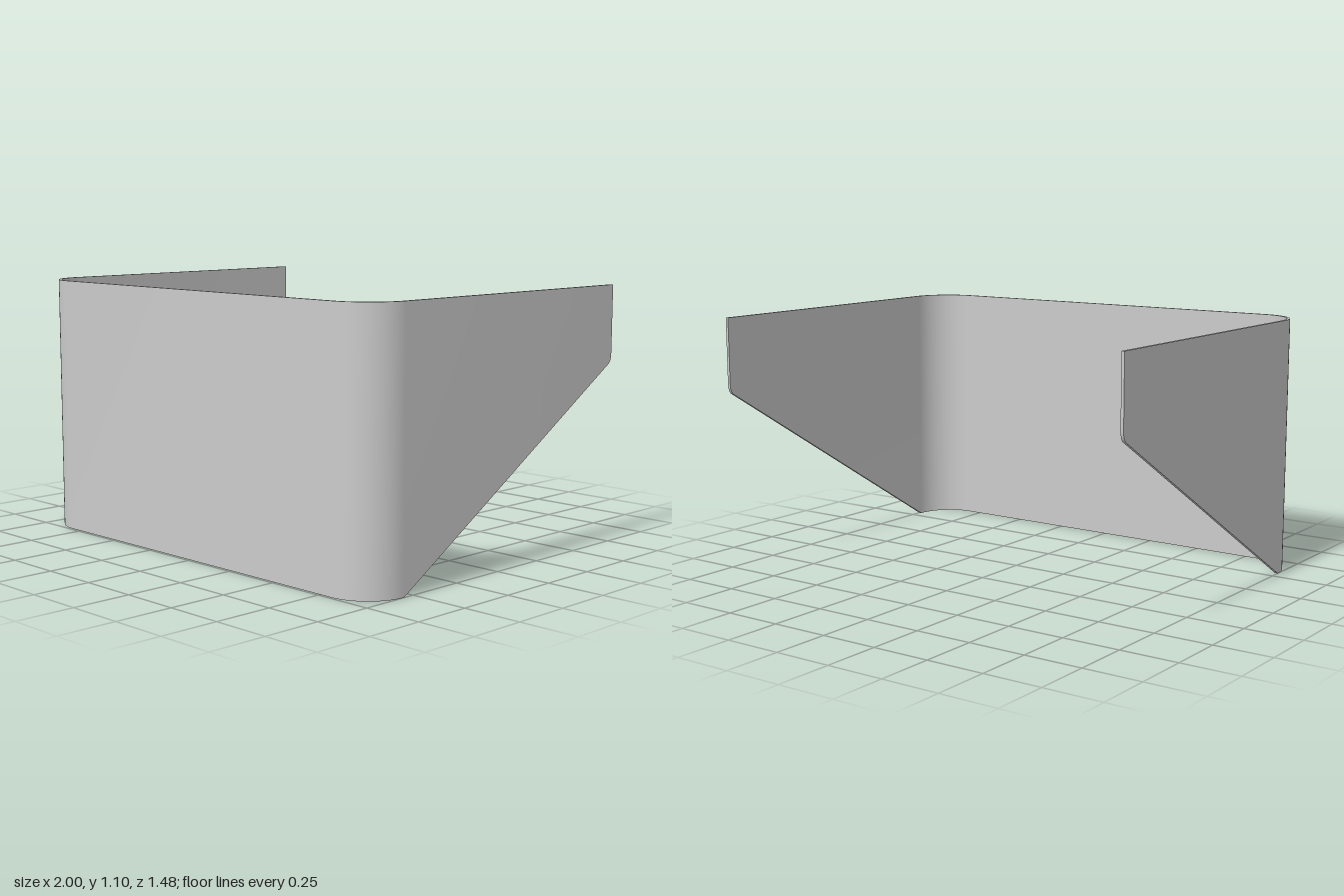
import * as THREE from 'three';
import { toCreasedNormals } from 'three/addons/utils/BufferGeometryUtils.js';

const HEIGHT = 1.1, DEPTH = 0.74, THICK = 0.013, RADIUS = 0.19, ARC_STEPS = 16;

// Stations along the outer face, from the right wing's tip to the middle of the front:
// position, outward normal and height of the lower edge.
function halfStations() {
  const zc = DEPTH - RADIUS;
  const stations = [];
  // rounded tip, then the slanted lower edge
  for (const [z, bottom] of [[-0.74, 0.82], [-0.739, 0.797], [-0.734, 0.781], [-0.725, 0.769]]) {
    stations.push({ x: -1, z, nx: -1, nz: 0, bottom });
  }
  // rounded vertical corner
  for (let i = 0; i <= ARC_STEPS; i++) {
    const a = (i / ARC_STEPS) * Math.PI / 2;
    const nx = -Math.cos(a), nz = Math.sin(a);
    stations.push({ x: -1 + RADIUS + RADIUS * nx, z: zc + RADIUS * nz, nx, nz, bottom: 0 });
  }
  return stations;
}

export function createModel() {
  const half = halfStations();
  const mirrored = half.map((s) => ({ ...s, x: -s.x, nx: -s.nx })).reverse();
  const stations = [...half, ...mirrored];
  const n = stations.length - 1;

  // Bend a thin box around the stations
  const geometry = new THREE.BoxGeometry(n, 1, 1, n, 1, 1);
  const pos = geometry.attributes.position;
  for (let i = 0; i < pos.count; i++) {
    const s = stations[Math.round(pos.getX(i) + n / 2)];
    const inset = pos.getZ(i) > 0 ? 0 : THICK;
    const y = pos.getY(i) > 0 ? HEIGHT : s.bottom;
    pos.setXYZ(i, s.x - s.nx * inset, y, s.z - s.nz * inset);
  }

  const panel = new THREE.Mesh(
    toCreasedNormals(geometry, 0.5),
    new THREE.MeshStandardMaterial({ color: 0xcccccc })
  );
  panel.name = 'wraparoundPanel';

  const group = new THREE.Group();
  group.name = 'curvedScreen';
  group.add(panel);
  return group;
}
